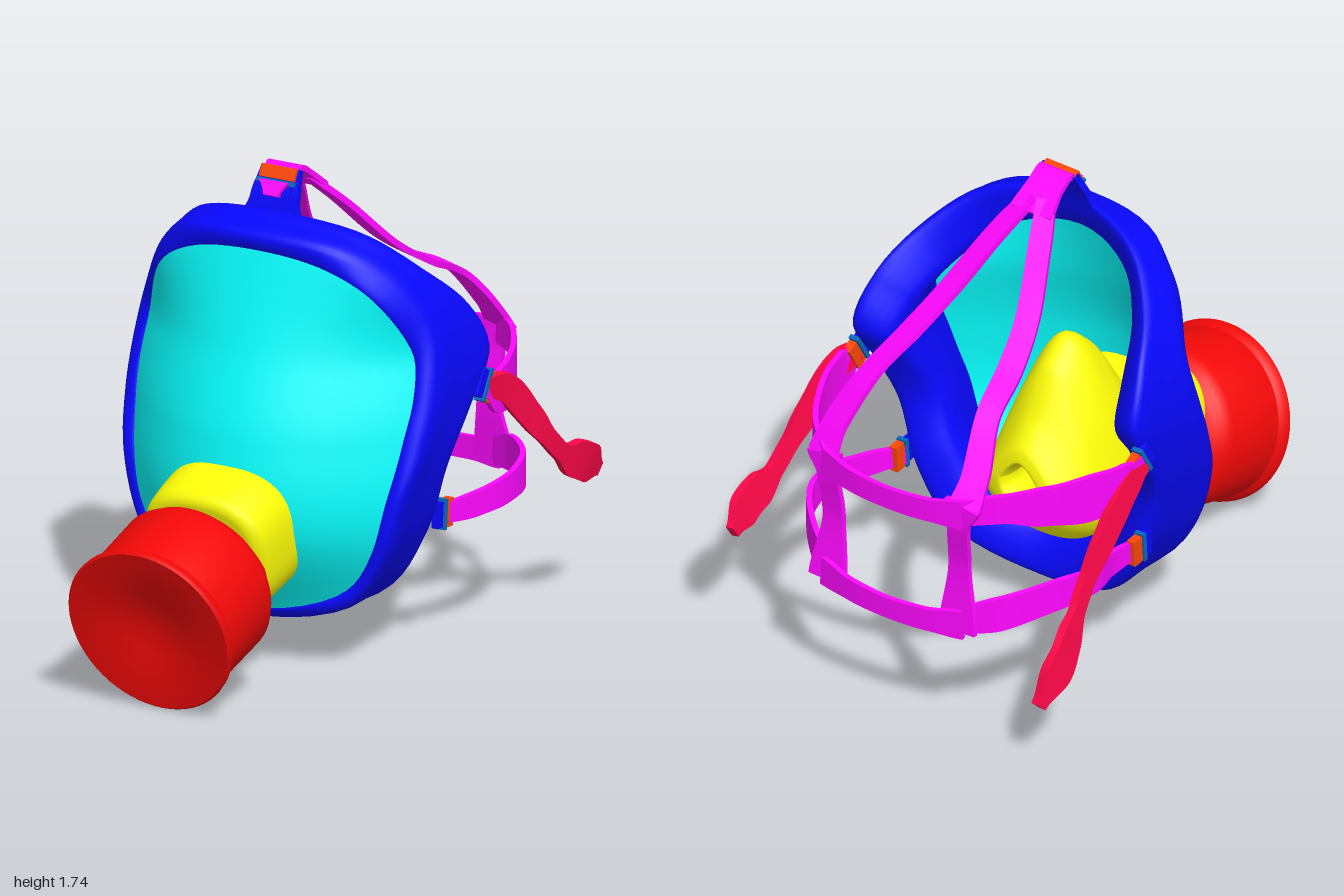
import * as THREE from 'three';
import { toCreasedNormals } from 'three/addons/utils/BufferGeometryUtils.js';
import { ParametricGeometry } from 'three/addons/geometries/ParametricGeometry.js';

const V3 = (a) => new THREE.Vector3(...a);
const paint = (color) => new THREE.MeshStandardMaterial({ color, side: THREE.DoubleSide });
const BLUE = paint(0x0808ff), CYAN = paint(0x08ffff), YELLOW = paint(0xffff08), RED = paint(0xf40808);
const MAGENTA = paint(0xff08ff), ORANGE = paint(0xff4808), CRIMSON = paint(0xff0848), STEEL = paint(0x0868c0);

function add(parent, name, geometry, material) {
  const mesh = new THREE.Mesh(geometry, material);
  mesh.name = name;
  parent.add(mesh);
  return mesh;
}

// Half outlines, top centre to chin: visor edge (flat), front corner and rear corner of the rubber frame
const visorEdge = [[0, 1.49, 0], [.26, 1.455, 0], [.42, 1.36, 0], [.52, 1.17, 0], [.545, 1, 0],
  [.535, .85, 0], [.51, .68, 0], [.45, .45, 0], [.33, .29, 0], [0, .21, 0]];
const frontEdge = [[0, 1.54, .21], [.28, 1.52, .17], [.455, 1.41, .06], [.565, 1.22, -.02], [.595, 1.02, .02],
  [.59, .85, .08], [.555, .66, .15], [.48, .42, .17], [.35, .25, .17], [0, .17, .2]];
const rearEdge = [[0, 1.6, .08], [.31, 1.545, .0], [.47, 1.41, -.13], [.565, 1.25, -.29], [.6, 1.08, -.37],
  [.585, .9, -.27], [.545, .7, -.18], [.465, .45, -.18], [.33, .24, -.15], [0, .15, -.1]];

// Mirrors a half outline into a closed smooth loop
function loop(half) {
  const mirrored = half.slice(1, -1).reverse().map(([x, y, z]) => [-x, y, z]);
  return new THREE.CatmullRomCurve3([...half, ...mirrored].map(V3), true);
}
const visorLoop = loop(visorEdge), frontLoop = loop(frontEdge), rearLoop = loop(rearEdge);

// Window surface: a midline profile that curves back to both sides, flatter at the brow
const midline = new THREE.CatmullRomCurve3([[.21, .24], [.53, .415], [.85, .4], [1.17, .295], [1.49, .2]]
  .map(([y, z]) => V3([0, y, z])), false, 'catmullrom', .5);
function onVisor(x, y, out) {
  const depth = midline.getPoint(THREE.MathUtils.clamp((y - .21) / 1.28, 0, 1)).z;
  return out.set(x, y, depth - x * x * (1.05 - .55 * THREE.MathUtils.smoothstep(y, 1.1, 1.5)));
}

function visorGeometry() {
  const fn = (u, v, out) => {
    const s = .002 + .998 * v, e = visorLoop.getPoint(u % 1);
    onVisor(e.x * s, .7 + (e.y - .7) * s, out);
  };
  return new ParametricGeometry(fn, 96, 24);
}

// Moves a point toward the face axis and along z
const inward = (p, amount, dz) => new THREE.Vector3(p.x * (1 - amount), p.y + (.85 - p.y) * amount, p.z + dz);

function frameGeometry() {
  const fn = (u, v, out) => {
    const a = visorLoop.getPoint(u % 1), f = frontLoop.getPoint(u % 1), r = rearLoop.getPoint(u % 1);
    onVisor(a.x, a.y, a);
    const middle = inward(f.clone().lerp(r, .5), -.015, 0);
    const section = new THREE.CatmullRomCurve3(
      [a, f, middle, r, inward(r, .19, .05), inward(r, .22, .11), inward(a, .06, -.05)], true);
    out.copy(section.getPoint(v % 1));
  };
  return new ParametricGeometry(fn, 96, 36);
}

// Lofts rings [position, centre height, half width, up, down] with rounded square sections
function ringLoft(rings, power, pinch) {
  const place = new THREE.CatmullRomCurve3(rings.map((r) => V3([r[0], r[1], 0])));
  const size = new THREE.CatmullRomCurve3(rings.map((r) => V3(r.slice(2))));
  const fn = (u, v, out) => {
    const p = place.getPoint(v), q = size.getPoint(v), t = u * Math.PI * 2;
    const bend = (c) => Math.sign(c) * Math.pow(Math.abs(c), 2 / power);
    const c = bend(Math.cos(t)), s = bend(Math.sin(t));
    out.set(q.x * c * (1 - pinch * Math.max(0, s)), p.y + s * (s > 0 ? q.y : q.z), p.x);
  };
  return new ParametricGeometry(fn, 48, 40);
}

// Flat strap swept along a path; across is its width direction
function strap(points, widths, across, thick = .02) {
  const curve = new THREE.CatmullRomCurve3(points.map(V3));
  const n = points.length * 7, pos = [], index = [];
  for (let i = 0; i <= n; i++) {
    const t = i / n, p = curve.getPoint(t), tangent = curve.getTangent(t);
    const k = Math.min(t * (widths.length - 1), widths.length - 1.0001), j = Math.floor(k);
    const width = THREE.MathUtils.lerp(widths[j], widths[j + 1], THREE.MathUtils.smoothstep(k - j, 0, 1));
    const w = V3(across).addScaledVector(tangent, -tangent.dot(V3(across))).normalize();
    const h = new THREE.Vector3().crossVectors(tangent, w);
    for (const [a, b] of [[-1, -1], [1, -1], [1, 1], [-1, 1]]) {
      pos.push(...p.clone().addScaledVector(w, a * width / 2).addScaledVector(h, b * thick / 2).toArray());
    }
    if (i < n) for (let c = 0; c < 4; c++) {
      const a = i * 4 + c, b = i * 4 + (c + 1) % 4;
      index.push(a, b, b + 4, a, b + 4, a + 4);
    }
  }
  const e = n * 4;
  index.push(0, 2, 1, 0, 3, 2, e, e + 1, e + 2, e, e + 2, e + 3);
  const g = new THREE.BufferGeometry();
  g.setAttribute('position', new THREE.Float32BufferAttribute(pos, 3));
  g.setIndex(index);
  return toCreasedNormals(g, .7);
}

// Flat buckle: its width lies along across, the strap leaves it along along
function buckle(parent, name, position, across, along, width) {
  const g = new THREE.Group();
  g.name = name;
  const x = V3(across).normalize(), y = V3(along).normalize();
  g.quaternion.setFromRotationMatrix(new THREE.Matrix4().makeBasis(x, y, x.clone().cross(y)));
  g.position.set(...position);
  add(g, 'buckleBody', new THREE.BoxGeometry(width, .045, .03), ORANGE).position.y = .02;
  add(g, 'buckleBar', new THREE.BoxGeometry(width + .01, .016, .04), STEEL).position.y = -.014;
  add(g, 'buckleLoop', new THREE.BoxGeometry(width - .01, .035, .025), BLUE).position.y = -.04;
  parent.add(g);
}

export function createModel() {
  const model = new THREE.Group();
  model.name = 'respiratorMask';
  const mask = new THREE.Group();
  mask.name = 'mask';
  mask.position.x = -.035;
  model.add(mask);

  add(mask, 'faceFrame', frameGeometry(), BLUE);
  add(mask, 'visor', visorGeometry(), CYAN);

  // Inner nose cup with a breathing hole facing the wearer
  add(mask, 'noseCup', ringLoft([[.3, .5, .23, .27, .22], [.17, .5, .25, .47, .24], [.06, .5, .25, .55, .24],
    [-.05, .51, .235, .46, .22], [-.14, .53, .205, .27, .17], [-.21, .56, .145, .14, .11], [-.22, .57, .085, .085, .085],
    [-.17, .57, .065, .065, .065], [-.05, .57, .06, .06, .06], [-.04, .57, .002, .002, .002]], 2.3, .5), YELLOW);

  // Tilted filter: local +y points out along its axis, local -z points up
  const filter = new THREE.Group();
  filter.name = 'filterAssembly';
  filter.position.set(0, .308, .911);
  filter.rotation.x = THREE.MathUtils.degToRad(106.4);
  mask.add(filter);
  const profile = [[0, -.42], [.235, -.42], [.24, -.39], [.265, -.375], [.285, -.355], [.302, -.32], [.3, -.05],
    [.307, -.04], [.318, -.025], [.32, -.008], [.312, 0], [.29, -.002], [.2, -.012], [.12, -.032], [.06, -.044],
    [0, -.046]].map(([x, y]) => new THREE.Vector2(x, y));
  add(filter, 'filterCanister', toCreasedNormals(new THREE.LatheGeometry(profile, 64), .6), RED);
  const duct = ringLoft([[-.4, .05, .05, .05, .05], [-.405, .055, .21, .21, .21], [-.43, .055, .24, .24, .235],
    [-.52, .055, .247, .25, .24], [-.6, .05, .25, .255, .235], [-.66, .04, .25, .22, .235], [-.78, .03, .23, .17, .22]], 2.7, 0);
  duct.rotateX(-Math.PI / 2);
  add(filter, 'filterDuct', duct, YELLOW);

  // Brow tab and buckle
  add(mask, 'browTab', strap([[0, 1.54, .09], [0, 1.64, .06], [0, 1.735, .012]], [.25, .185, .155], [1, 0, 0], .025), BLUE);
  buckle(mask, 'browBuckle', [0, 1.702, .04], [1, 0, 0], [0, .88, -.47], .14);
  add(mask, 'browTongue', strap([[0, 1.7, .062], [0, 1.652, .086]], [.12, .06], [1, 0, 0]), MAGENTA);
  add(mask, 'browStrap', strap([[0, 1.715, .02], [0, 1.738, -.005], [0, 1.71, -.06], [0, 1.64, -.15]],
    [.12, .14, .14, .17], [1, 0, 0]), MAGENTA);

  // Harness on both sides; the cheek straps lean toward +x
  for (const [side, m] of [['left', 1], ['right', -1]]) {
    const lean = .03 * m;
    const flip = (pts) => pts.map(([x, y, z]) => [x * m, y, z]);
    add(mask, side + 'CrownStrap', strap(flip([[.03, 1.68, -.1], [.09, 1.57, -.22], [.17, 1.39, -.4], [.215, 1.285, -.56],
      [.25, 1.2, -.73], [.3, 1.04, -.87], [.305, .95, -.94]]), [.07, .08, .085, .09, .085, .1, .12], [m, -.25, 0], .022), MAGENTA);
    add(mask, side + 'TempleStrap', strap(flip([[.615, .95, -.33], [.61, .91, -.42], [.565, .905, -.57], [.49, .92, -.72],
      [.4, .94, -.85], [.29, .93, -.945]]), [.08, .16, .18, .15, .11, .1], [0, 1, 0]), MAGENTA);
    add(mask, side + 'CheekStrap', strap(flip([[.5, .5, -.2], [.53 + lean, .51, -.35], [.56 + lean, .525, -.5],
      [.52 + lean, .535, -.68], [.4, .52, -.86], [.28, .485, -.94]]), [.07, .09, .1, .12, .13, .1], [0, 1, 0]), MAGENTA);
    add(mask, side + 'RearStrap', strap(flip([[.295, .96, -.94], [.28, .87, -.94], [.27, .7, -.92], [.28, .45, -.945]]),
      [.14, .085, .085, .15], [1, 0, 0]), MAGENTA);
    buckle(mask, side + 'TempleBuckle', [.607 * m, .95, -.335], [0, .85, -.5], [0, -.5, -.85], .11);
    buckle(mask, side + 'CheekBuckle', [.51 * m, .505, -.215], [0, 1, -.08], [0, -.08, -1], .1);
  }
  for (const [name, y] of [['upperBackStrap', .925], ['lowerBackStrap', .48]]) {
    add(mask, name, strap([[-.3, y, -.945], [-.16, y - .01, -.975], [0, y - .015, -.985], [.16, y - .01, -.975],
      [.3, y, -.945]], [.11, .085, .08, .085, .11], [0, 1, 0]), MAGENTA);
  }

  // Loose pull ends with paddle tips
  const tailWidths = [.07, .1, .1, .09, .065, .065, .135, .14, .05];
  add(model, 'leftPullTail', strap([[.575, .95, -.33], [.595, .92, -.43], [.62, .81, -.53], [.645, .69, -.63],
    [.655, .6, -.73], [.665, .55, -.84], [.65, .49, -.95]], tailWidths, [.2, 1, -.3], .03), CRIMSON);
  add(model, 'rightPullTail', strap([[-.645, .95, -.33], [-.65, .88, -.43], [-.645, .76, -.53], [-.635, .62, -.63],
    [-.645, .5, -.72], [-.67, .4, -.82], [-.66, .27, -.945]], tailWidths, [.12, 1, -.3], .03), CRIMSON);
  return model;
}
